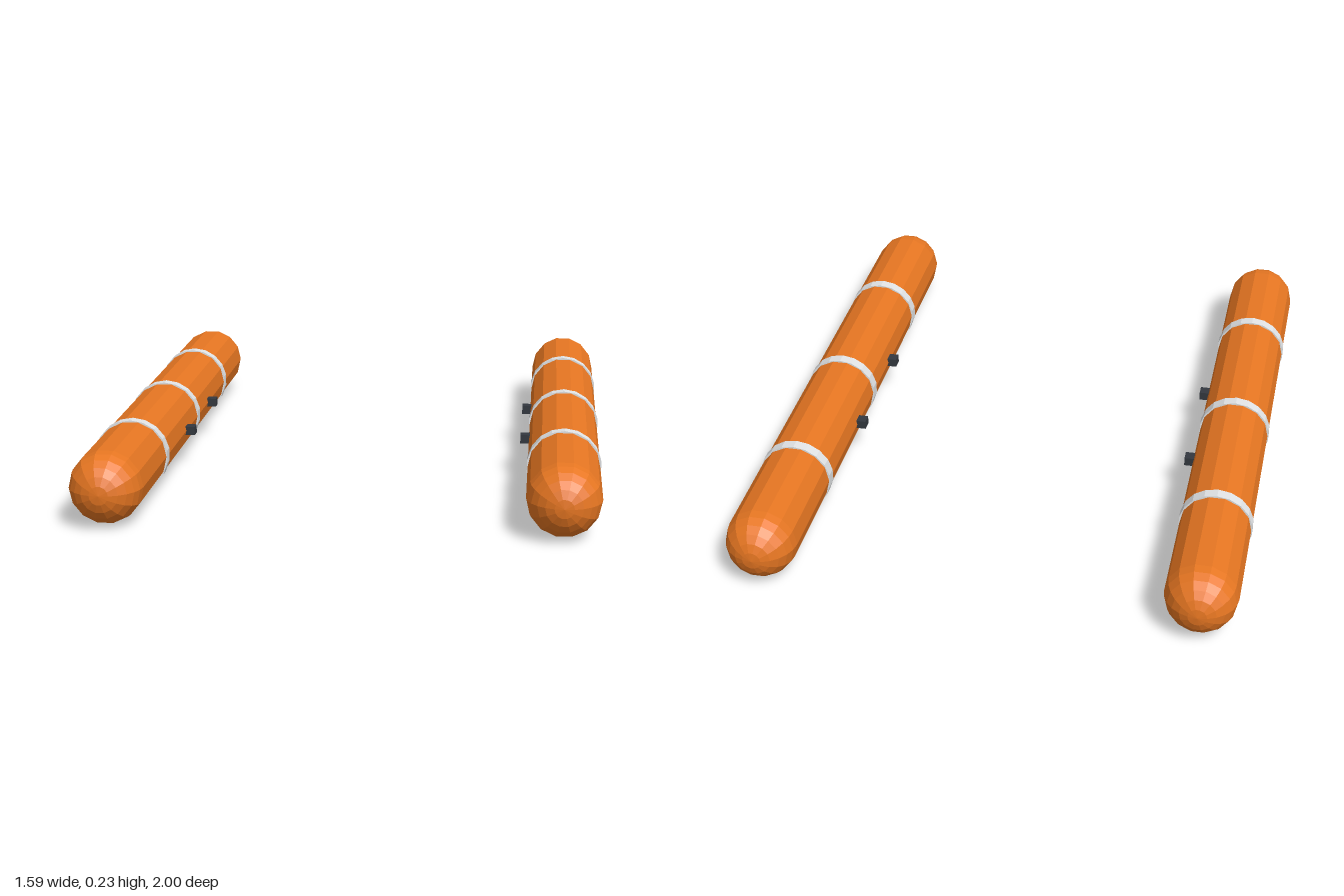
import * as THREE from 'three';

const floatMat = new THREE.MeshStandardMaterial({ color: 0xe87722, flatShading: true });
floatMat.name = 'orange';
const bandMat = new THREE.MeshStandardMaterial({ color: 0xe2e4e6, flatShading: true });
bandMat.name = 'light grey';
const lugMat = new THREE.MeshStandardMaterial({ color: 0x33383f, flatShading: true });
lugMat.name = 'dark grey';

const RADIUS = 0.112, BAND_RADIUS = 0.116, LENGTH = 2;

function add(group, name, geometry, material, x, y, z) {
  const mesh = new THREE.Mesh(geometry, material);
  mesh.name = name;
  mesh.position.set(x, y, z);
  group.add(mesh);
}

// One long round-ended float; side is +1 for left, -1 for right
function createFloat(side) {
  const group = new THREE.Group();
  group.name = side > 0 ? 'leftFloat' : 'rightFloat';
  group.position.set(side * 0.679, BAND_RADIUS, 0);

  // Tube with domed ends
  const tube = new THREE.CapsuleGeometry(RADIUS, LENGTH - 2 * RADIUS, 6, 14).rotateX(Math.PI / 2);
  add(group, 'tube', tube, floatMat, 0, 0, 0);

  // Bands around the tube
  const band = new THREE.CylinderGeometry(BAND_RADIUS, BAND_RADIUS, 0.036, 18).rotateX(Math.PI / 2);
  for (const z of [-0.53, 0, 0.53]) add(group, 'band', band, bandMat, 0, 0, z);

  // Mounting lugs on the inner side
  const lug = new THREE.BoxGeometry(0.036, 0.028, 0.036);
  for (const z of [-0.2, 0.2]) add(group, 'mountingLug', lug, lugMat, -side * 0.122, 0, z);
  return group;
}

export function createModel() {
  const model = new THREE.Group();
  model.name = 'floatPair';
  model.add(createFloat(1), createFloat(-1));
  return model;
}
